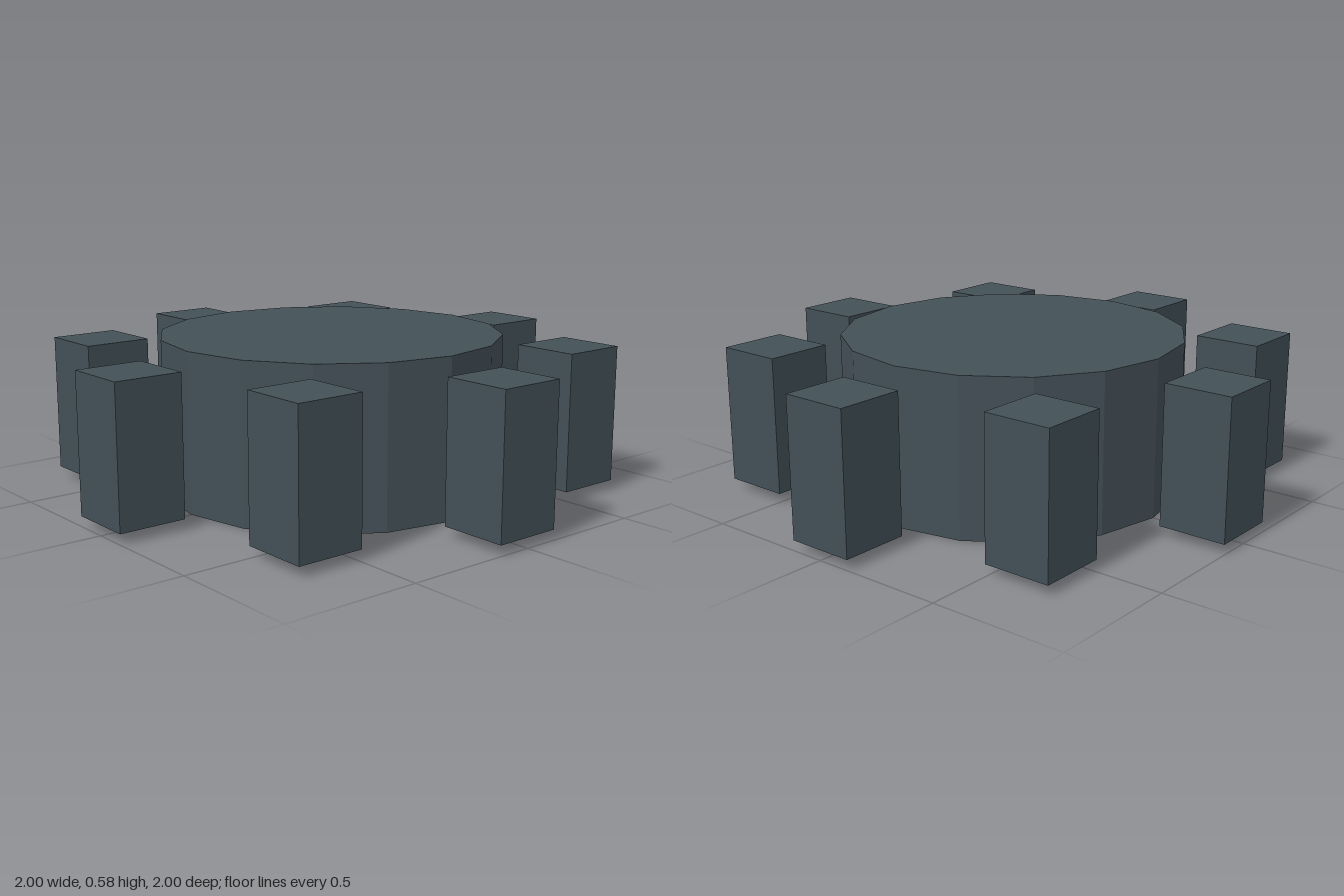
import * as THREE from 'three';

export function createModel() {
  const model = new THREE.Group();
  model.name = 'gearWheel';
  const material = new THREE.MeshStandardMaterial({ color: 0x435057, flatShading: true });

  // Sixteen-sided central drum
  const height = 0.583;
  const hub = new THREE.Mesh(new THREE.CylinderGeometry(0.637, 0.637, height, 16), material);
  hub.name = 'hub';
  hub.position.y = height / 2;
  model.add(hub);

  // Ring of eight free-standing, axis-aligned blocks
  const teeth = new THREE.Group();
  teeth.name = 'teeth';
  const width = 0.254;
  const ringRadius = 1 - width / 2;
  const toothGeometry = new THREE.BoxGeometry(width, width * 2, width);
  for (let i = 0; i < 8; i++) {
    const angle = (i * Math.PI) / 4;
    const tooth = new THREE.Mesh(toothGeometry, material);
    tooth.name = `tooth${i + 1}`;
    tooth.position.set(Math.cos(angle) * ringRadius, height / 2, Math.sin(angle) * ringRadius);
    teeth.add(tooth);
  }
  model.add(teeth);

  return model;
}
